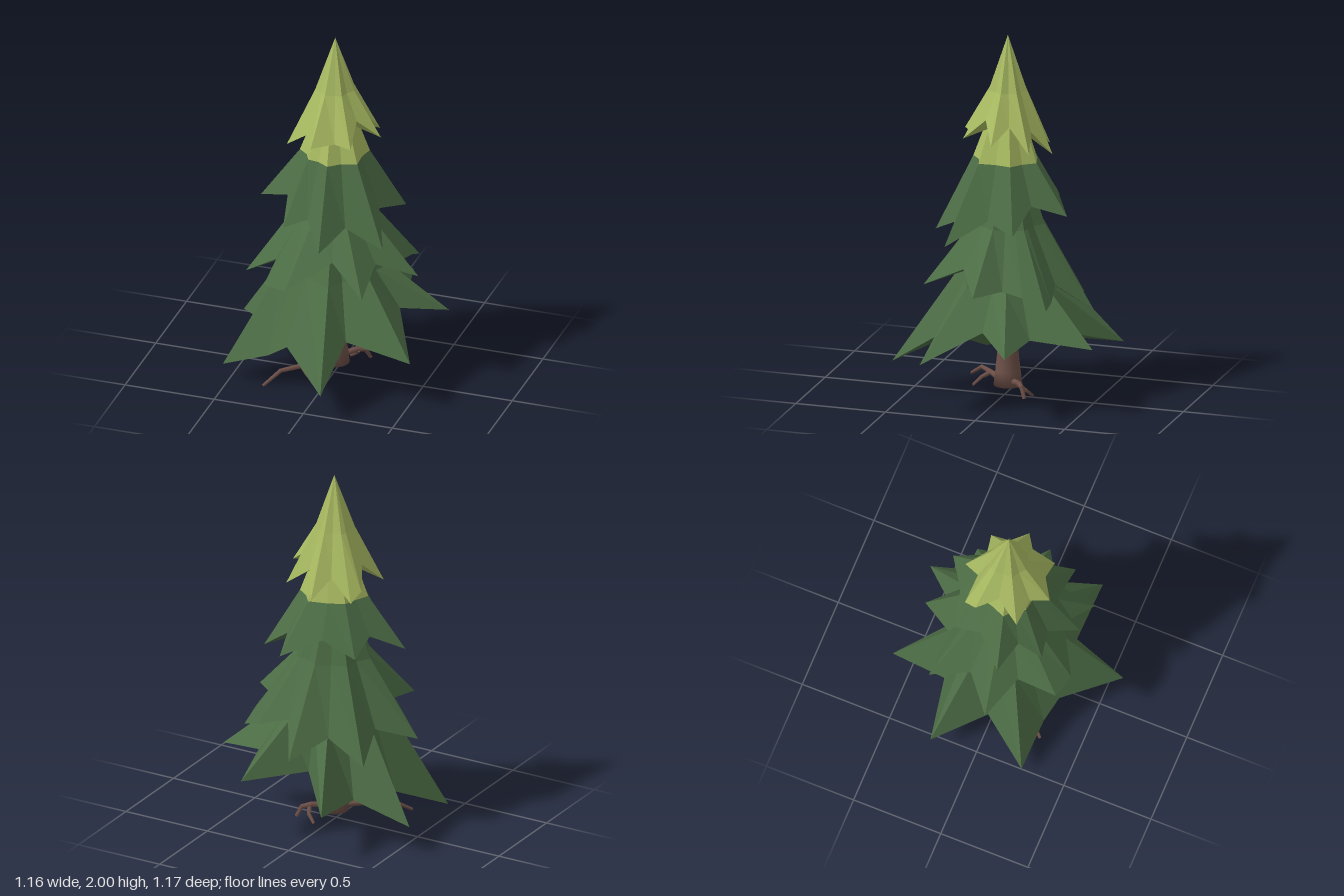
import * as THREE from 'three';

const lightNeedles = new THREE.MeshStandardMaterial({ color: 0xa9bb62 });
const darkNeedles = new THREE.MeshStandardMaterial({ color: 0x4d6e46 });
const bark = new THREE.MeshStandardMaterial({ color: 0x6e5048 });

const CENTRE_Z = -0.02; // the trunk axis sits slightly behind the middle

// Point at an angle (from the front, towards +x) and a radius around the trunk axis
const polar = (angle, r, y) =>
  new THREE.Vector3(r * Math.sin(angle), y, CENTRE_Z + r * Math.cos(angle));

// Faceted mesh from triangles given as triples of Vector3
function facetMesh(name, triangles, material) {
  const geometry = new THREE.BufferGeometry().setFromPoints(triangles.flat());
  geometry.computeVertexNormals();
  const mesh = new THREE.Mesh(geometry, material);
  mesh.name = name;
  return mesh;
}

// Band of faces between an upper and a lower ring
function band(upper, lower) {
  const triangles = [];
  upper.forEach((t0, i) => {
    const j = (i + 1) % upper.length;
    triangles.push([t0, lower[i], lower[j]]);
    if (t0.distanceTo(upper[j]) > 1e-5) triangles.push([t0, lower[j], upper[j]]);
  });
  return triangles;
}

// Hem of a tier from points [x, z, y], with a raised notch added in every wide gap
function makeHem(points, notchRadius, lift) {
  const boughs = points
    .map(([x, z, y]) => ({ a: Math.atan2(x, z - CENTRE_Z), r: Math.hypot(x, z - CENTRE_Z), y }))
    .sort((p, q) => p.a - q.a);
  return boughs.flatMap((p, i) => {
    const next = boughs[(i + 1) % boughs.length];
    const gap = (next.a - p.a + 2 * Math.PI) % (2 * Math.PI);
    if (gap < 0.64) return [p];
    return [p, { a: p.a + gap / 2, r: notchRadius, y: (p.y + next.y) / 2 + lift }];
  });
}

// One tier of boughs: a narrow cap, a spreading skirt with a jagged hem, an underside
function tier({ name, top, mid, under, notch, lift, points, capMaterial, skirtMaterial }) {
  const group = new THREE.Group();
  group.name = name;
  const hem = makeHem(points, notch, lift);
  const mean = hem.reduce((sum, p) => sum + p.r, 0) / hem.length;

  // Rings bulge a little above each bough and dip above each notch
  const ring = ([radius, y]) => hem.map((p) => polar(p.a, radius * (0.55 + 0.45 * p.r / mean), y));
  const upper = ring(top);
  const middle = ring(mid);
  const edge = hem.map((p) => polar(p.a, p.r, p.y));
  const centre = polar(0, 0, under);
  const underside = edge.map((p, i) => [centre, edge[(i + 1) % edge.length], p]);

  group.add(
    facetMesh('boughCap', band(upper, middle), capMaterial),
    facetMesh('boughSkirt', band(middle, edge), skirtMaterial),
    facetMesh('boughUnderside', underside, skirtMaterial),
  );
  return group;
}

// Gnarled root: tapering six-sided pieces from point to point
function root(name, points, startRadius, endRadius) {
  const group = new THREE.Group();
  group.name = name;
  const path = points.map((p) => new THREE.Vector3(...p));
  const radius = (i) => THREE.MathUtils.lerp(startRadius, endRadius, i / (path.length - 1));
  for (let i = 0; i < path.length - 1; i++) {
    const along = path[i + 1].clone().sub(path[i]);
    const piece = new THREE.Mesh(
      new THREE.CylinderGeometry(radius(i + 1), radius(i), along.length() + 0.006, 6), bark);
    piece.name = 'rootPiece';
    piece.position.copy(path[i]).addScaledVector(along, 0.5);
    piece.quaternion.setFromUnitVectors(new THREE.Vector3(0, 1, 0), along.normalize());
    group.add(piece);
  }
  return group;
}

export function createModel() {
  const tree = new THREE.Group();
  tree.name = 'pineTree';

  tree.add(tier({
    name: 'crownTier', top: [0, 2], mid: [0.1, 1.7], under: 1.52, notch: 0.165, lift: 0.11,
    capMaterial: lightNeedles, skirtMaterial: lightNeedles,
    points: [
      [0, -0.27, 1.36], [0.19, -0.2, 1.4], [0.26, -0.01, 1.45], [0.155, 0.18, 1.45],
      [0.06, 0.165, 1.46], [-0.05, 0.235, 1.45], [-0.1, 0.14, 1.48], [-0.225, 0.115, 1.39],
      [-0.225, -0.12, 1.41], [-0.2, -0.19, 1.36],
    ],
  }));

  // The light colour runs down to the widest ring of this tier's cap
  tree.add(tier({
    name: 'upperTier', top: [0.07, 1.62], mid: [0.17, 1.32], under: 1.13, notch: 0.26, lift: 0.09,
    capMaterial: lightNeedles, skirtMaterial: darkNeedles,
    points: [
      [0.12, -0.39, 1.06], [0.35, -0.16, 0.99], [0.35, 0.22, 0.9], [0.04, 0.37, 0.9],
      [-0.2, 0.25, 0.96], [-0.385, 0.07, 1.04], [-0.25, -0.23, 1.06],
    ],
  }));

  tree.add(tier({
    name: 'middleTier', top: [0.1, 1.25], mid: [0.19, 0.97], under: 0.77, notch: 0.32, lift: 0.1,
    capMaterial: darkNeedles, skirtMaterial: darkNeedles,
    points: [
      [0, -0.5, 0.52], [0.27, -0.35, 0.62], [0.36, -0.35, 0.6], [0.36, -0.22, 0.66],
      [0.34, -0.1, 0.68], [0.48, 0.02, 0.67], [0.28, 0.36, 0.66], [0.08, 0.26, 0.8],
      [-0.14, 0.395, 0.66], [-0.27, 0.36, 0.66], [-0.48, 0.04, 0.55], [-0.36, -0.33, 0.5],
    ],
  }));

  tree.add(tier({
    name: 'lowerTier', top: [0.12, 0.95], mid: [0.26, 0.65], under: 0.47, notch: 0.36, lift: 0.1,
    capMaterial: darkNeedles, skirtMaterial: darkNeedles,
    points: [
      [-0.25, -0.585, 0.28], [0, -0.29, 0.38], [0.25, -0.575, 0.375], [0.33, -0.25, 0.42],
      [0.58, -0.19, 0.38], [0.37, 0, 0.45], [0.53, 0.3, 0.29], [0.17, 0.3, 0.36],
      [0.125, 0.585, 0.17], [-0.15, 0.33, 0.29], [-0.27, 0.29, 0.2], [-0.53, 0.27, 0.095],
      [-0.585, -0.23, 0.165], [-0.27, -0.28, 0.27],
    ],
  }));

  // Trunk with a flared, closed base
  const profile = [[0, 0.06], [0.078, 0.06], [0.068, 0.14], [0.056, 0.25], [0.053, 0.52], [0, 0.52]];
  const trunk = new THREE.Mesh(
    new THREE.LatheGeometry(profile.map(([r, y]) => new THREE.Vector2(r, y)), 14), bark);
  trunk.name = 'trunk';
  trunk.position.z = CENTRE_Z;
  tree.add(trunk);

  // Two forked roots on opposite sides
  tree.add(
    root('frontRoot', [[-0.03, 0.075, 0.03], [-0.14, 0.075, 0.12], [-0.23, 0.07, 0.2], [-0.3, 0.01, 0.28]], 0.018, 0.008),
    root('frontRootFork', [[-0.14, 0.075, 0.12], [-0.1, 0.055, 0.16], [-0.05, 0.025, 0.19]], 0.013, 0.008),
    root('backRoot', [[0.03, 0.09, -0.05], [0.09, 0.1, -0.11], [0.13, 0.09, -0.14], [0.15, 0.04, -0.16]], 0.018, 0.01),
    root('backRootFork', [[0.1, 0.095, -0.11], [0.08, 0.06, -0.15], [0.04, 0.025, -0.17]], 0.013, 0.008),
  );
  return tree;
}
